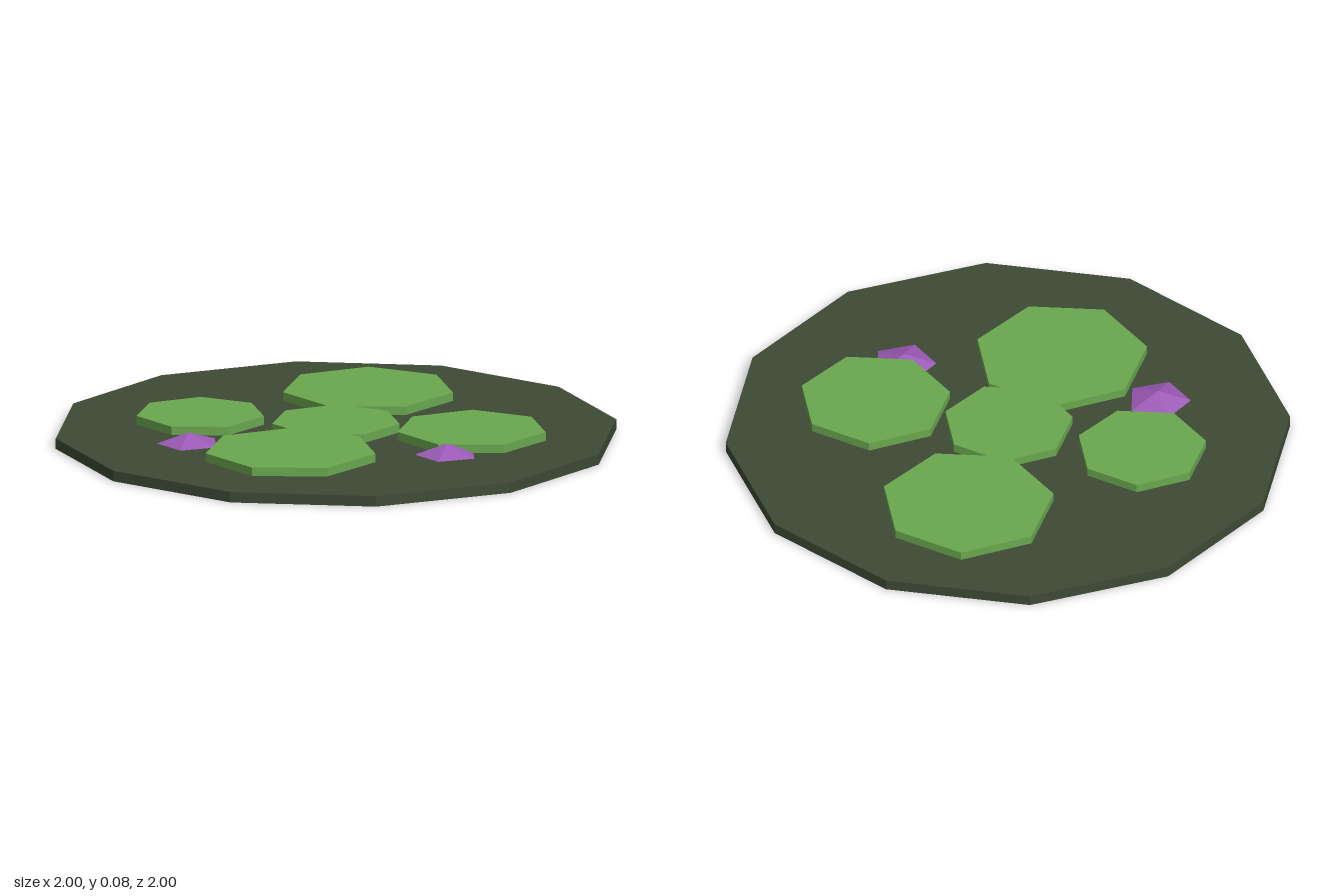
import * as THREE from 'three';

const BASE_H = 0.038;
const PAD_H = 0.031;

export function createModel() {
  const model = new THREE.Group();
  model.name = 'lilyPadPond';

  const flat = (name, color) => {
    const m = new THREE.MeshStandardMaterial({ color, flatShading: true });
    m.name = name;
    return m;
  };
  const darkGreen = flat('darkGreen', 0x3d4a35);
  const leafGreen = flat('leafGreen', 0x6aa84f);
  const purple = flat('purple', 0x9b59b6);

  // Upright prism or cone standing on height y, with one corner towards +x
  const addPrism = (name, material, rTop, rBottom, height, sides, x, y, z) => {
    const geometry = new THREE.CylinderGeometry(rTop, rBottom, height, sides, 1, false, Math.PI / 2);
    geometry.translate(0, height / 2, 0);
    const mesh = new THREE.Mesh(geometry, material);
    mesh.name = name;
    mesh.position.set(x, y, z);
    model.add(mesh);
  };

  // Twelve-sided base disc
  addPrism('base', darkGreen, 1, 1, BASE_H, 12, 0, 0, 0);

  // Seven-sided leaf pads: x, z, radius
  const pads = [
    [0, 0, 0.231],
    [0.385, -0.307, 0.308],
    [-0.385, 0.231, 0.308],
    [0.307, 0.385, 0.269],
    [-0.307, -0.385, 0.231],
  ];
  pads.forEach(([x, z, r], i) =>
    addPrism(`leafPad${i + 1}`, leafGreen, r, r, PAD_H, 7, x, BASE_H, z));

  // Low five-sided flowers
  [[-0.538, -0.154], [0.077, 0.538]].forEach(([x, z], i) =>
    addPrism(`flower${i + 1}`, purple, 0, 0.115, 0.039, 5, x, BASE_H, z));

  return model;
}
